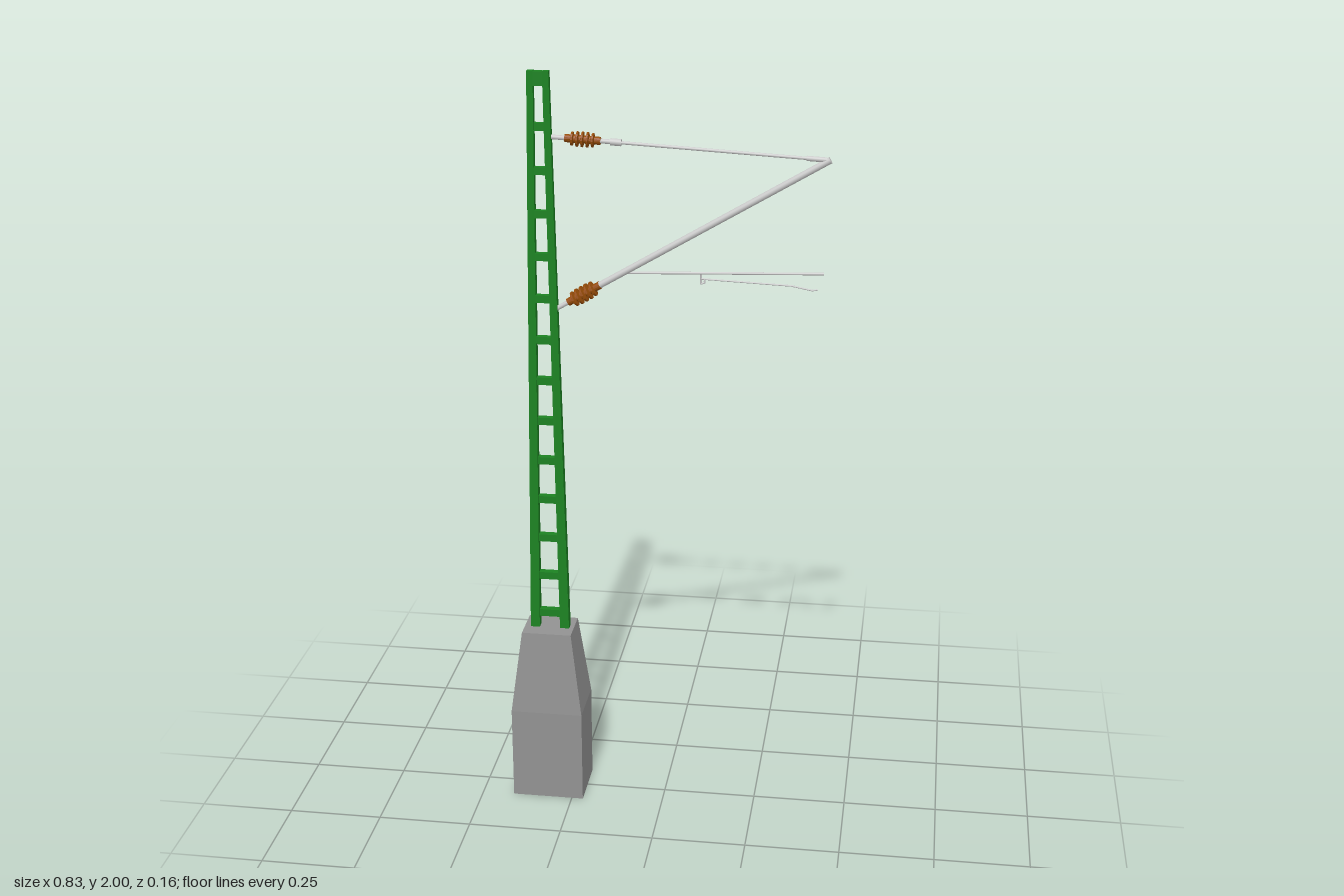
import * as THREE from 'three';

const concrete = new THREE.MeshStandardMaterial({ color: 0x929292, flatShading: true, side: THREE.DoubleSide });
const steel = new THREE.MeshStandardMaterial({ color: 0xcccccc });
const green = new THREE.MeshStandardMaterial({ color: 0x1c8222, flatShading: true });
const brown = new THREE.MeshStandardMaterial({ color: 0x964c08, flatShading: true });
const BASE_X = -0.316, MAST_X = -0.314, FOOT = 0.48, TOP = 2;
const lerp = THREE.MathUtils.lerp;

function add(group, name, geometry, material) {
  const mesh = new THREE.Mesh(geometry, material);
  mesh.name = name;
  group.add(mesh);
  return mesh;
}

// Stack of rectangular sections [y, halfX, halfZ], open at the bottom, closed on top
function loftRects(sections) {
  const pos = [], idx = [];
  for (const [y, hx, hz] of sections) pos.push(-hx, y, hz, hx, y, hz, hx, y, -hz, -hx, y, -hz);
  for (let s = 0; s < sections.length - 1; s++) {
    for (let i = 0; i < 4; i++) {
      const a = s * 4 + i, b = s * 4 + (i + 1) % 4;
      idx.push(a, b, b + 4, a, b + 4, a + 4);
    }
  }
  const t = (sections.length - 1) * 4;
  idx.push(t, t + 1, t + 2, t, t + 2, t + 3);
  const g = new THREE.BufferGeometry();
  g.setAttribute('position', new THREE.Float32BufferAttribute(pos, 3));
  g.setIndex(idx);
  const flat = g.toNonIndexed();
  flat.computeVertexNormals();
  return flat;
}

// Mast measurements at height y
function mastAt(y) {
  const t = (y - FOOT) / (TOP - FOOT);
  return { outer: lerp(0.053, 0.0275, t), width: lerp(0.025, 0.016, t), depth: lerp(0.0125, 0.0085, t) };
}

// Tapered leg on one side of the mast
function legGeometry(side) {
  const g = new THREE.BoxGeometry(1, TOP - FOOT, 2).translate(0, (TOP + FOOT) / 2, 0);
  const p = g.attributes.position;
  for (let i = 0; i < p.count; i++) {
    const m = mastAt(p.getY(i));
    p.setX(i, side * (m.outer - m.width / 2) + p.getX(i) * m.width);
    p.setZ(i, p.getZ(i) * m.depth);
  }
  g.computeVertexNormals();
  return g;
}

// Group whose +y axis runs from a to b (in the z = 0 plane)
function axisGroup(name, a, b) {
  const g = new THREE.Group();
  g.name = name;
  g.position.set(a[0], a[1], 0);
  g.rotation.z = Math.atan2(b[1] - a[1], b[0] - a[0]) - Math.PI / 2;
  g.userData.length = Math.hypot(b[0] - a[0], b[1] - a[1]);
  return g;
}

function rod(group, name, from, to, r) {
  add(group, name, new THREE.CylinderGeometry(r, r, to - from, 12).translate(0, (from + to) / 2, 0), steel);
}

// Ribbed insulator along +y
function insulator(group, from, to, radius, sheds) {
  const core = 0.010, pts = [[0, from], [core, from]];
  const start = lerp(from, to, 0.16), pitch = (to - from) * 0.72 / sheds;
  for (let i = 0; i < sheds; i++) {
    const y = start + i * pitch;
    const r = i === 0 || i === sheds - 1 ? radius * 0.92 : radius;
    pts.push([core, y], [r, y + pitch * 0.15], [r, y + pitch * 0.5], [core, y + pitch * 0.65]);
  }
  pts.push([core, to], [0, to]);
  add(group, 'insulator', new THREE.LatheGeometry(pts.map(([x, y]) => new THREE.Vector2(x, y)), 14), brown);
}

// Thin bent wire made of straight pieces through the given points
function wire(model, name, points, r) {
  for (let i = 0; i < points.length - 1; i++) {
    const piece = axisGroup(name, points[i], points[i + 1]);
    rod(piece, name + 'Piece', -r * 0.5, piece.userData.length + r * 0.5, r);
    model.add(piece);
  }
}

export function createModel() {
  const model = new THREE.Group();
  model.name = 'catenaryMast';

  // Concrete foundation, hollow underneath
  const base = add(model, 'foundation', loftRects([[0, 0.097, 0.078], [0.26, 0.097, 0.078], [0.49, 0.067, 0.055]]), concrete);
  base.position.x = BASE_X;

  // Ladder mast
  const mast = new THREE.Group();
  mast.name = 'mast';
  mast.position.x = MAST_X;
  model.add(mast);
  for (const side of [-1, 1]) add(mast, side < 0 ? 'rightLeg' : 'leftLeg', legGeometry(side), green);
  for (let i = 0; i < 13; i++) {
    const y = 0.532 + i * 0.1108, m = mastAt(y);
    add(mast, 'rung', new THREE.BoxGeometry(2 * m.outer - m.width, 0.02, m.depth * 1.6), green).position.y = y;
  }
  const top = mastAt(1.98);
  add(mast, 'topPlate', new THREE.BoxGeometry(2 * top.outer - top.width, 0.036, top.depth * 1.9), green).position.y = 1.981;

  // Upper tie rod
  const tie = axisGroup('tieRod', [-0.29, 1.837], [0.4, 1.8]);
  const tieLength = tie.userData.length;
  rod(tie, 'bracket', 0, 0.045, 0.006);
  insulator(tie, 0.04, 0.13, 0.019, 5);
  rod(tie, 'coupling', 0.13, 0.155, 0.006);
  rod(tie, 'clamp', 0.155, 0.182, 0.009);
  rod(tie, 'rod', 0.18, tieLength, 0.0042);
  rod(tie, 'endClamp', tieLength - 0.05, tieLength, 0.0065);
  model.add(tie);

  // Lower diagonal strut
  const strut = axisGroup('strut', [-0.28, 1.393], [0.408, 1.8]);
  rod(strut, 'bracket', 0, 0.042, 0.006);
  insulator(strut, 0.036, 0.132, 0.0215, 5);
  rod(strut, 'tube', 0.13, strut.userData.length, 0.0085);
  model.add(strut);

  // Registration arm
  const arm = axisGroup('registrationArm', [-0.115, 1.495], [0.4, 1.512]);
  rod(arm, 'rod', 0, arm.userData.length, 0.0035);
  model.add(arm);

  // Drop bracket and the steady arm hanging from it
  wire(model, 'dropBracket', [[0.092, 1.502], [0.092, 1.474], [0.101, 1.477], [0.101, 1.487]], 0.0022);
  wire(model, 'steadyArm', [[0.092, 1.487], [0.32, 1.478], [0.372, 1.468], [0.384, 1.47]], 0.0022);

  return model;
}
